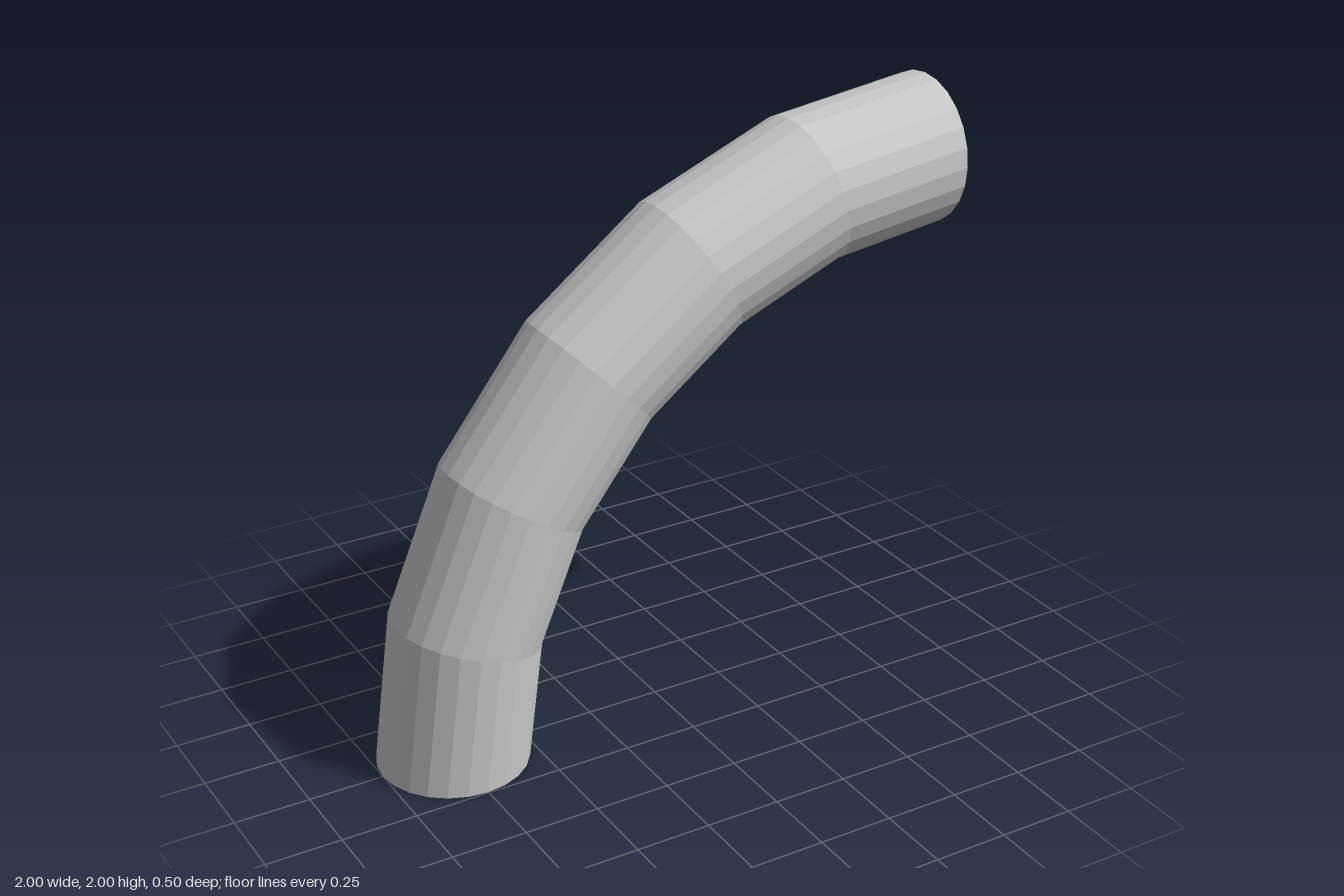
import * as THREE from 'three';

const BEND = 1.7525; // radius of the centre line
const TUBE = 0.2475; // radius of the pipe
const SIDES = 24;

export function createModel() {
  const model = new THREE.Group();
  model.name = 'pipeElbow';
  const material = new THREE.MeshStandardMaterial({ color: 0xcccccc, flatShading: true });

  const add = (name, geometry, x, y) => {
    const mesh = new THREE.Mesh(geometry, material);
    mesh.name = name;
    mesh.position.set(x, y, 0);
    model.add(mesh);
    return mesh;
  };

  // Quarter bend in six straight segments
  const bend = new THREE.TorusGeometry(BEND, TUBE, SIDES, 6, Math.PI / 2);
  add('bend', bend.rotateZ(Math.PI / 2), 1, 0);

  // Flat discs closing both ends
  const disc = new THREE.CircleGeometry(TUBE, SIDES);
  add('bottomCap', disc, 1 - BEND, 0).rotation.x = Math.PI / 2;
  add('sideCap', disc, 1, BEND).rotation.y = Math.PI / 2;

  return model;
}
